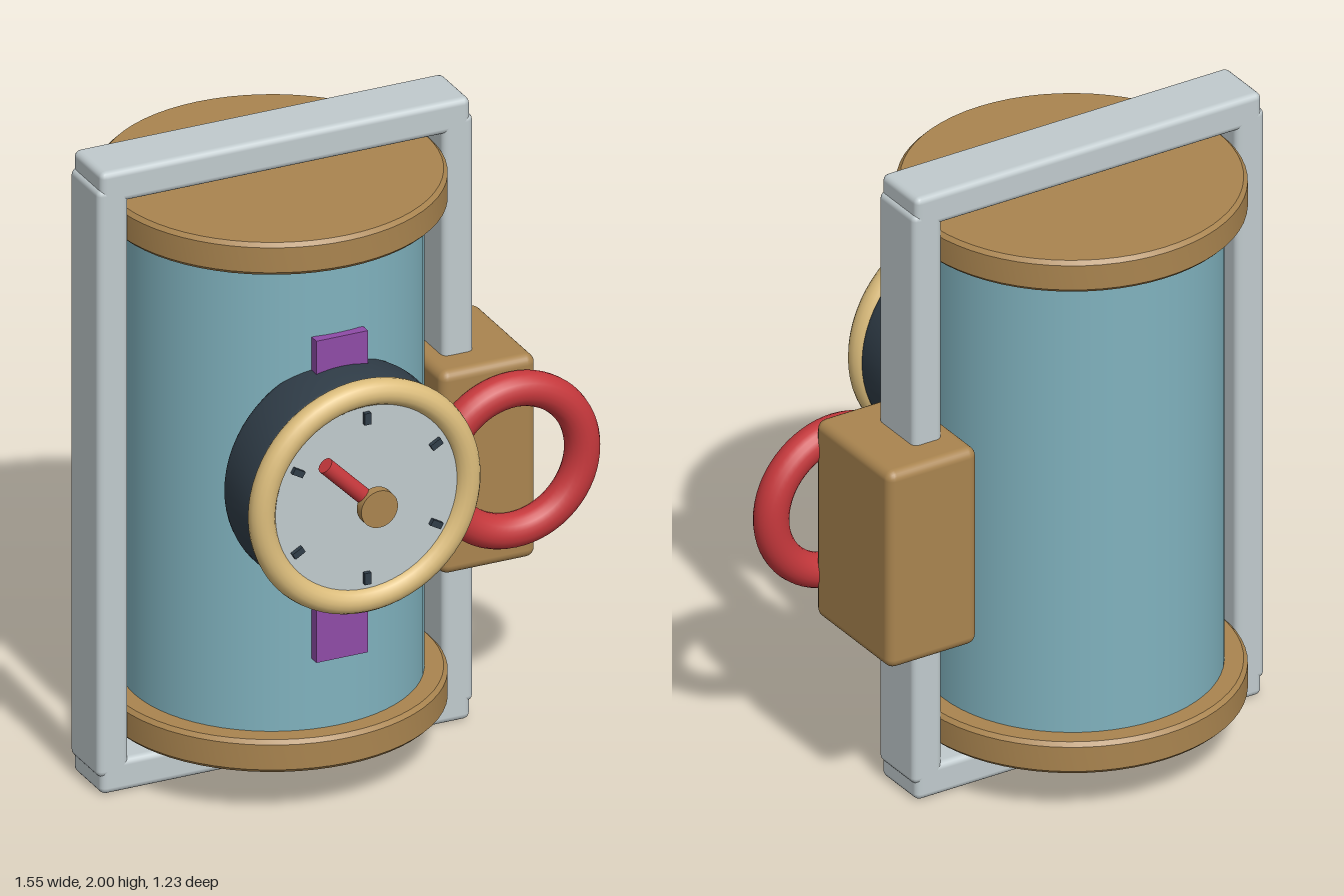
import * as THREE from 'three';
import { toCreasedNormals } from 'three/addons/utils/BufferGeometryUtils.js';
import { RoundedBoxGeometry } from 'three/addons/geometries/RoundedBoxGeometry.js';

const mat = (name, color) => {
  const m = new THREE.MeshStandardMaterial({ color });
  m.name = name;
  return m;
};

// Solid disc along y with rounded rims
function disc(radius, height, bevel, steps) {
  const pts = [new THREE.Vector2(0, -height / 2)];
  for (const side of [-1, 1]) {
    for (let i = 0; i <= steps; i++) {
      const a = (Math.PI / 2) * (side < 0 ? i / steps - 1 : i / steps);
      pts.push(new THREE.Vector2(
        radius - bevel + Math.cos(a) * bevel,
        side * (height / 2 - bevel) + Math.sin(a) * bevel));
    }
  }
  pts.push(new THREE.Vector2(0, height / 2));
  return toCreasedNormals(new THREE.LatheGeometry(pts, 64), 0.5);
}

export function createModel() {
  const brown = mat('brown', 0xa9844f);
  const teal = mat('teal', 0x80b2be);
  const grey = mat('light grey', 0xc0cacd);
  const gold = mat('gold', 0xdcbd7c);
  const dark = mat('dark slate', 0x303d48);
  const red = mat('red', 0xc6383c);
  const purple = mat('purple', 0x8e4ba6);

  const model = new THREE.Group();
  const add = (parent, name, geometry, material, x, y, z) => {
    const mesh = new THREE.Mesh(geometry, material);
    mesh.name = name;
    mesh.position.set(x, y, z);
    parent.add(mesh);
    return mesh;
  };

  const cx = -0.17, cz = -0.103;

  // Drum and its end caps
  add(model, 'drum', new THREE.CylinderGeometry(0.443, 0.443, 1.6, 64), teal, cx, 1, cz);
  for (const [name, y] of [['bottomCap', 0.203], ['topCap', 1.803]]) {
    add(model, name, disc(0.511, 0.104, 0.012, 1), brown, cx, y, cz);
  }

  // Rectangular carrying frame
  for (const s of [-1, 1]) {
    add(model, s < 0 ? 'rightPost' : 'leftPost',
      new RoundedBoxGeometry(0.1, 1.89, 0.194, 2, 0.02), grey, cx + s * 0.556, 1, cz);
    add(model, s < 0 ? 'bottomBar' : 'topBar',
      new RoundedBoxGeometry(1.192, 0.104, 0.194, 2, 0.02), grey, cx, 1 + s * 0.948, cz);
  }

  // Strap behind the gauge
  add(model, 'strap', new THREE.BoxGeometry(0.166, 1.035, 0.032), purple, cx, 1, 0.35);

  // Gauge, built around its own centre
  const gauge = new THREE.Group();
  gauge.name = 'gauge';
  gauge.position.set(cx, 1.067, 0);
  model.add(gauge);
  add(gauge, 'gaugeBody', disc(0.354, 0.225, 0.04, 4), dark, 0, 0, 0.393).rotation.x = Math.PI / 2;
  add(gauge, 'gaugeFace', new THREE.CylinderGeometry(0.325, 0.325, 0.03, 64), grey, 0, 0, 0.51)
    .rotation.x = Math.PI / 2;
  add(gauge, 'gaugeRim', new THREE.TorusGeometry(0.331, 0.04, 16, 64), gold, 0, 0, 0.513);
  for (let i = 0; i < 6; i++) {
    const a = Math.PI / 6 + (i * Math.PI) / 3;
    add(gauge, 'tick', new THREE.BoxGeometry(0.037, 0.02, 0.016), dark,
      Math.cos(a) * 0.257, Math.sin(a) * 0.257, 0.531).rotation.z = a;
  }
  const reach = 0.111 * Math.SQRT1_2;
  add(gauge, 'needle', new THREE.CylinderGeometry(0.025, 0.025, 0.222, 20), red, -reach, reach, 0.577)
    .rotation.z = Math.PI / 4;
  add(gauge, 'needleHub', new THREE.CylinderGeometry(0.059, 0.059, 0.031, 32), brown, 0, 0, 0.6)
    .rotation.x = Math.PI / 2;

  // Side box with its ring handle
  add(model, 'sideBox', new RoundedBoxGeometry(0.308, 0.653, 0.405, 3, 0.03), brown, 0.434, 0.858, cz);
  add(model, 'ringHandle', new THREE.TorusGeometry(0.226, 0.053, 20, 64), red, 0.495, 0.877, 0.124);

  return model;
}
